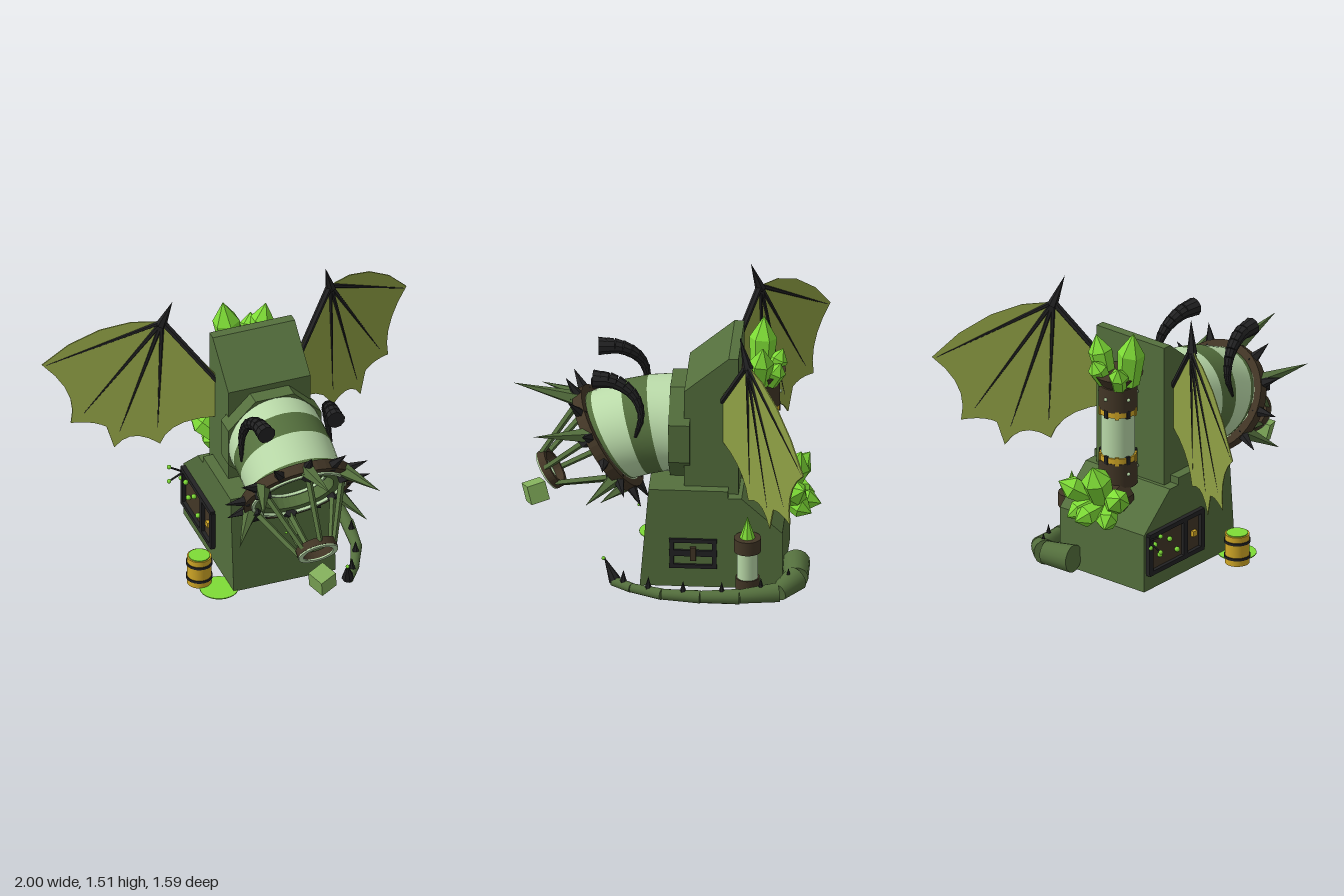
import * as THREE from 'three';

const M = (name, color, side = THREE.FrontSide) => new THREE.MeshStandardMaterial({ name, color, side });
const V = (x, y, z) => new THREE.Vector3(x, y, z);
const UP = V(0, 1, 0);

export function createModel() {
  const root = new THREE.Group();
  const green = M('mossGreen', 0x546f3d, THREE.DoubleSide);
  const pale = M('paleGreen', 0xb9d9a8, THREE.DoubleSide);
  const brown = M('darkBrown', 0x423626, THREE.DoubleSide);
  const black = M('hornBlack', 0x222223);
  const wingMat = M('wingOlive', 0x8fa044, THREE.DoubleSide);
  const lime = M('crystalLime', 0x7edc36);
  const gold = M('gold', 0xd2a826);
  const slime = M('slimeGreen', 0x84b05c);

  const add = (name, geo, mat, parent = root) => {
    const m = new THREE.Mesh(geo, mat);
    m.name = name;
    parent.add(m);
    return m;
  };
  const flat = (g) => {
    const n = g.index ? g.toNonIndexed() : g;
    n.computeVertexNormals();
    return n;
  };
  const box = (name, w, h, d, x, y, z, mat) => {
    const m = add(name, new THREE.BoxGeometry(w, h, d), mat);
    m.position.set(x, y, z);
    return m;
  };
  const cyl = (name, r1, r2, y0, y1, x, z, mat) => {
    const m = add(name, new THREE.CylinderGeometry(r2, r1, y1 - y0, 24), mat);
    m.position.set(x, (y0 + y1) / 2, z);
    return m;
  };
  const ball = (name, r, x, y, z, mat) => add(name, new THREE.SphereGeometry(r, 10, 8), mat).position.set(x, y, z);
  // Stand a mesh built along +y at a, pointing to b
  const aim = (m, a, b, t) => {
    m.position.copy(a).lerp(b, t);
    m.quaternion.setFromUnitVectors(UP, b.clone().sub(a).normalize());
  };
  // Tapered bar from a to b, faceted when it has few sides
  const beam = (name, a, b, r1, r2, mat, sides = 6, parent = root) => {
    const g = new THREE.CylinderGeometry(r2, r1, a.distanceTo(b), sides);
    aim(add(name, sides < 12 ? flat(g) : g, mat, parent), a, b, 0.5);
  };
  // Chunky six-sided gem
  const crystal = (a, b, r) => {
    const L = a.distanceTo(b);
    const pts = [[0, 0], [r * 0.8, 0], [r, L * 0.6], [0, L]];
    aim(add('crystal', flat(new THREE.LatheGeometry(pts.map((p) => new THREE.Vector2(...p)), 6)), lime), a, b, 0);
  };
  // Side outline in (z, y), extruded across x
  const slab = (name, pts, width, mat) => {
    const s = new THREE.Shape(pts.map((p) => new THREE.Vector2(...p)));
    const g = new THREE.ExtrudeGeometry(s, { depth: width, bevelEnabled: false });
    add(name, g.translate(0, 0, -width / 2).rotateY(-Math.PI / 2), mat);
  };

  // Base, tower and octagonal collar
  slab('base', [[0.125, 0], [0.08, 0.55], [-0.33, 0.55], [-0.33, 0.51], [-0.4, 0.51], [-0.61, 0.32], [-0.61, 0]], 0.56, green);
  slab('tower', [[-0.1, 0.5], [-0.1, 1.09], [-0.33, 1.285], [-0.38, 1.285], [-0.38, 0.5]], 0.45, green);
  const collar = add('collar', flat(new THREE.CylinderGeometry(0.276, 0.276, 0.11, 8).rotateY(Math.PI / 8)), green);
  collar.rotation.x = Math.PI / 2;
  collar.position.set(0, 0.802, -0.075);

  // Bent barrel: bands between tilted cross-sections [z, y, tilt, radius]
  const sections = [[-0.02, 0.802, 0, 0.253], [0.055, 0.795, 0.2, 0.253], [0.16, 0.77, 0.31, 0.253],
    [0.27, 0.725, 0.52, 0.25], [0.32, 0.705, 0.57, 0.25]];
  [pale, green, pale, green].forEach((mat, i) => {
    const g = new THREE.CylinderGeometry(1, 1, 2, 36, 1, true);
    const p = g.attributes.position;
    for (let k = 0; k < p.count; k++) {
      const [z, y, t, r] = sections[p.getY(k) > 0 ? i + 1 : i];
      const h = -p.getZ(k) * r;
      p.setXYZ(k, p.getX(k) * r, y + h * Math.cos(t), z + h * Math.sin(t));
    }
    g.computeVertexNormals();
    add('barrelBand', g, mat);
  });

  // Mouth: local +y points out of the barrel, local -z is up
  const mouth = new THREE.Group();
  mouth.name = 'mouth';
  mouth.position.set(0, 0.7, 0.31);
  mouth.rotation.x = Math.PI / 2 + 0.57;
  root.add(mouth);
  const hoop = (name, r0, r1, y0, y1, mat) => {
    const pts = [[r0, y0], [r1, y0], [r1, y1], [r0, y1], [r0, y0]].map((p) => new THREE.Vector2(...p));
    add(name, flat(new THREE.LatheGeometry(pts, 36)), mat, mouth);
  };
  hoop('mouthRing', 0.25, 0.295, -0.03, 0.025, brown);
  hoop('mouthLip', 0.238, 0.255, -0.03, 0.035, pale);
  hoop('mouthInnerLip', 0.19, 0.24, -0.05, 0.02, green);
  hoop('mouthInnerRing', 0.155, 0.165, -0.055, -0.03, pale);
  add('mouthThroat', new THREE.CylinderGeometry(0.24, 0.24, 0.01, 36), green, mouth).position.y = -0.05;
  hoop('cageRing', 0.085, 0.108, 0.32, 0.362, brown);
  hoop('cageRingLip', 0.08, 0.106, 0.362, 0.37, pale);
  for (let i = 0; i < 12; i++) {
    const a = (i / 12) * Math.PI * 2;
    const at = (r, y) => V(Math.sin(a) * r, y, -Math.cos(a) * r);
    beam('mouthSpike', at(0.27, 0), at(0.4, 0), 0.034, 0, black, 5, mouth);
    if (i % 2 === 0) {
      beam('cageBar', at(0.245, 0.03), at(0.1, 0.34), 0.018, 0.015, green, 4, mouth);
      beam('cageBolt', at(0.225, 0.035), at(0.295, 0.035), 0.034, 0.034, black, 4, mouth);
    }
  }

  // Claws flaring out of the mouth
  const claw = (x0, y0, z0, x, y, z) => beam('claw', V(x0, y0, z0), V(x, y, z), 0.042, 0, green, 5);
  claw(0, 0.92, 0.47, 0, 1.0, 0.795);
  claw(0, 0.45, 0.19, 0, 0.32, 0.35);
  for (const s of [-1, 1]) {
    claw(s * 0.22, 0.82, 0.39, s * 0.32, 0.85, 0.67);
    claw(s * 0.23, 0.59, 0.25, s * 0.35, 0.48, 0.4);
  }

  // Slime cube and drips below the mouth
  box('slimeCube', 0.1, 0.1, 0.1, 0, 0.38, 0.68, slime).rotation.set(0.2, 0.4, 0.15);
  [[0.19, 0.42, 0.013], [0.18, 0.385, 0.01], [0.165, 0.355, 0.008], [0.15, 0.32, 0.007]]
    .forEach(([z, y, r]) => ball('drip', r, 0, y, z, lime));

  for (const s of [-1, 1]) {
    // Curled horn
    const horn = new THREE.CatmullRomCurve3([V(s * 0.19, 1.13, 0.37), V(s * 0.2, 1.125, 0.26), V(s * 0.22, 1.06, 0.16),
      V(s * 0.235, 0.95, 0.12), V(s * 0.245, 0.83, 0.15)]).getPoints(11);
    for (let i = 0; i < 11; i++) {
      beam('horn', horn[i], horn[i + 1], 0.049 - i * 0.0036, 0.043 - i * 0.0036, black, 10);
    }

    // Wing membrane, a thin sheet on a plane swept back from the tower
    const W = (x, y, lift = 0) => V(s * x, y, -0.3 - (x - 0.22) * 0.6 + lift);
    const w = new THREE.Shape();
    w.moveTo(0.2, 1.05);
    w.lineTo(0.46, 1.37);
    [[0.6, 1.345], [0.74, 1.275], [0.88, 1.16], [1, 1.015]].forEach((p) => w.lineTo(...p));
    w.quadraticCurveTo(0.83, 0.87, 0.87, 0.67);
    w.quadraticCurveTo(0.77, 0.7, 0.71, 0.67);
    w.lineTo(0.675, 0.545);
    w.quadraticCurveTo(0.6, 0.69, 0.47, 0.6);
    w.quadraticCurveTo(0.43, 0.76, 0.22, 0.81);
    const g = new THREE.ExtrudeGeometry(w, { depth: 0.006, bevelEnabled: false, curveSegments: 5 });
    const p = g.attributes.position;
    for (let k = 0; k < p.count; k++) {
      const q = W(p.getX(k), p.getY(k), p.getZ(k) - 0.003);
      p.setXYZ(k, q.x * s, q.y, q.z);
    }
    g.computeVertexNormals();
    add('wing', g, wingMat).scale.x = s;
    const knuckle = W(0.46, 1.37);
    [[0.98, 1.015], [0.81, 0.74], [0.65, 0.65], [0.48, 0.7]].forEach(([x, y]) => beam('wingRib', knuckle, W(x, y), 0.014, 0.003, black));
    beam('wingArm', W(0.21, 1.03), knuckle, 0.016, 0.018, black);
    beam('wingClaw', W(0.465, 1.35), V(s * 0.42, 1.515, -0.4), 0.028, 0, black);
  }

  // Rear tank, stacked bottom to top: [y0, y1, r0, r1, material]
  [[0.5, 0.64, 0.1, 0.1, brown], [0.64, 0.67, 0.097, 0.097, gold], [0.67, 0.9, 0.088, 0.088, pale],
    [0.9, 0.93, 0.097, 0.097, gold], [0.93, 1.06, 0.1, 0.1, brown], [1.06, 1.12, 0.09, 0.13, brown]]
    .forEach(([y0, y1, r0, r1, m]) => cyl('tank', r0, r1, y0, y1, 0, -0.48, m));
  for (let i = 0; i < 10; i++) {
    const a = (i / 10) * Math.PI * 2;
    for (const y of [0.655, 0.915]) {
      box('tankTooth', 0.02, 0.045, 0.012, Math.sin(a) * 0.095, y, -0.48 + Math.cos(a) * 0.095, i % 2 ? black : gold).rotation.y = a;
    }
    if (i % 2) for (const y of [0.58, 1.0]) ball('tankRivet', 0.01, Math.sin(a) * 0.1, y, -0.48 + Math.cos(a) * 0.1, pale);
  }

  // Crystals on the tank, then the cluster on the back slope: [base, tip, radius]
  beam('clusterSocket', V(0, 0.45, -0.49), V(0, 0.41, -0.64), 0.12, 0.085, brown, 9);
  [[[-0.07, 1.08, -0.48], [-0.11, 1.375, -0.49], 0.072], [[0.08, 1.08, -0.48], [0.13, 1.305, -0.5], 0.064],
    [[-0.05, 1.07, -0.53], [-0.09, 1.2, -0.59], 0.052], [[0.05, 1.07, -0.53], [0.08, 1.2, -0.59], 0.052],
    [[0, 0.45, -0.61], [0, 0.655, -0.69], 0.08], [[-0.08, 0.44, -0.61], [-0.21, 0.55, -0.72], 0.066],
    [[0.08, 0.44, -0.61], [0.2, 0.53, -0.72], 0.066], [[0, 0.4, -0.63], [0.03, 0.375, -0.795], 0.06],
    [[-0.06, 0.41, -0.62], [-0.13, 0.36, -0.75], 0.056], [[0.06, 0.41, -0.62], [0.12, 0.36, -0.75], 0.056]]
    .forEach(([a, b, r]) => crystal(V(...a), V(...b), r));

  // Side flask
  [[0, 0.1, 0.062, brown], [0.1, 0.25, 0.055, pale], [0.25, 0.325, 0.07, brown]]
    .forEach(([y0, y1, r, m]) => cyl('flask', r, r, y0, y1, 0.345, -0.435, m));
  beam('flaskCrystal', V(0.345, 0.32, -0.435), V(0.345, 0.445, -0.435), 0.042, 0, lime, 8);

  // Tail wrapping round the side: [x, z, radius], resting on the ground
  const tail = [[0.14, -0.67, 0.074], [0.31, -0.685, 0.066], [0.42, -0.6, 0.052], [0.46, -0.4, 0.04], [0.465, -0.2, 0.034],
    [0.44, 0, 0.03], [0.37, 0.16, 0.026], [0.3, 0.26, 0.028]];
  const T = (i) => V(tail[i][0], tail[i][2] + (i < 2 ? 0.015 : 0), tail[i][1]);
  for (let i = 0; i < 7; i++) {
    beam('tail', T(i), T(i + 1), tail[i][2], tail[i + 1][2] * 0.92, green, 14);
    const c = T(i).lerp(T(i + 1), 0.45);
    if (i) beam('tailSpike', c, V(c.x, c.y + 0.085 + 0.01 * (i < 3), c.z), 0.024, 0, black, 6);
  }
  beam('tailTip', V(0.3, 0.03, 0.25), V(0.275, 0.155, 0.31), 0.033, 0, black, 7);
  ball('tailDrip', 0.01, 0.275, 0.145, 0.312, lime);

  // Framed hatch on the left side
  for (const y of [0.12, 0.195, 0.265]) box('hatchBar', 0.02, y === 0.195 ? 0.034 : 0.022, 0.245, 0.282, y, -0.15, black);
  for (const z of [-0.04, -0.26]) box('hatchPost', 0.02, 0.165, 0.022, 0.282, 0.193, z, black);
  box('hatchLatch', 0.03, 0.075, 0.03, 0.284, 0.193, -0.15, brown);

  // Shelf panel on the right side
  for (const y of [0.1, 0.31]) box('shelfBar', 0.035, 0.025, 0.44, -0.287, y, -0.37, black);
  for (const z of [-0.16, -0.3, -0.58]) box('shelfPost', 0.035, 0.21, 0.03, -0.287, 0.205, z, black);
  box('shelfBack', 0.006, 0.2, 0.42, -0.282, 0.205, -0.37, brown);
  [[0.16, -0.36], [0.24, -0.42], [0.18, -0.5], [0.25, -0.54]].forEach(([y, z]) => ball('shelfBead', 0.014, -0.295, y, z, lime));
  box('shelfPlate', 0.02, 0.03, 0.03, -0.292, 0.2, -0.22, gold);
  [[-0.37, 0.335, -0.585], [-0.37, 0.245, -0.585], [-0.305, 0.25, -0.585]].forEach(([x, y, z]) => {
    beam('twig', V(-0.29, 0.285, z), V(x, y, z), 0.006, 0.005, black, 5);
    ball('twigBead', 0.012, x, y, z, lime);
  });

  // Keg and spilled puddle
  cyl('keg', 0.064, 0.064, 0.002, 0.165, -0.415, -0.02, gold);
  for (const y of [0.035, 0.12]) cyl('kegHoop', 0.069, 0.069, y, y + 0.014, -0.415, -0.02, black);
  cyl('kegLiquid', 0.056, 0.056, 0.16, 0.17, -0.415, -0.02, lime);
  cyl('puddle', 0.1, 0.1, 0, 0.005, -0.34, 0.07, lime);

  return root;
}
